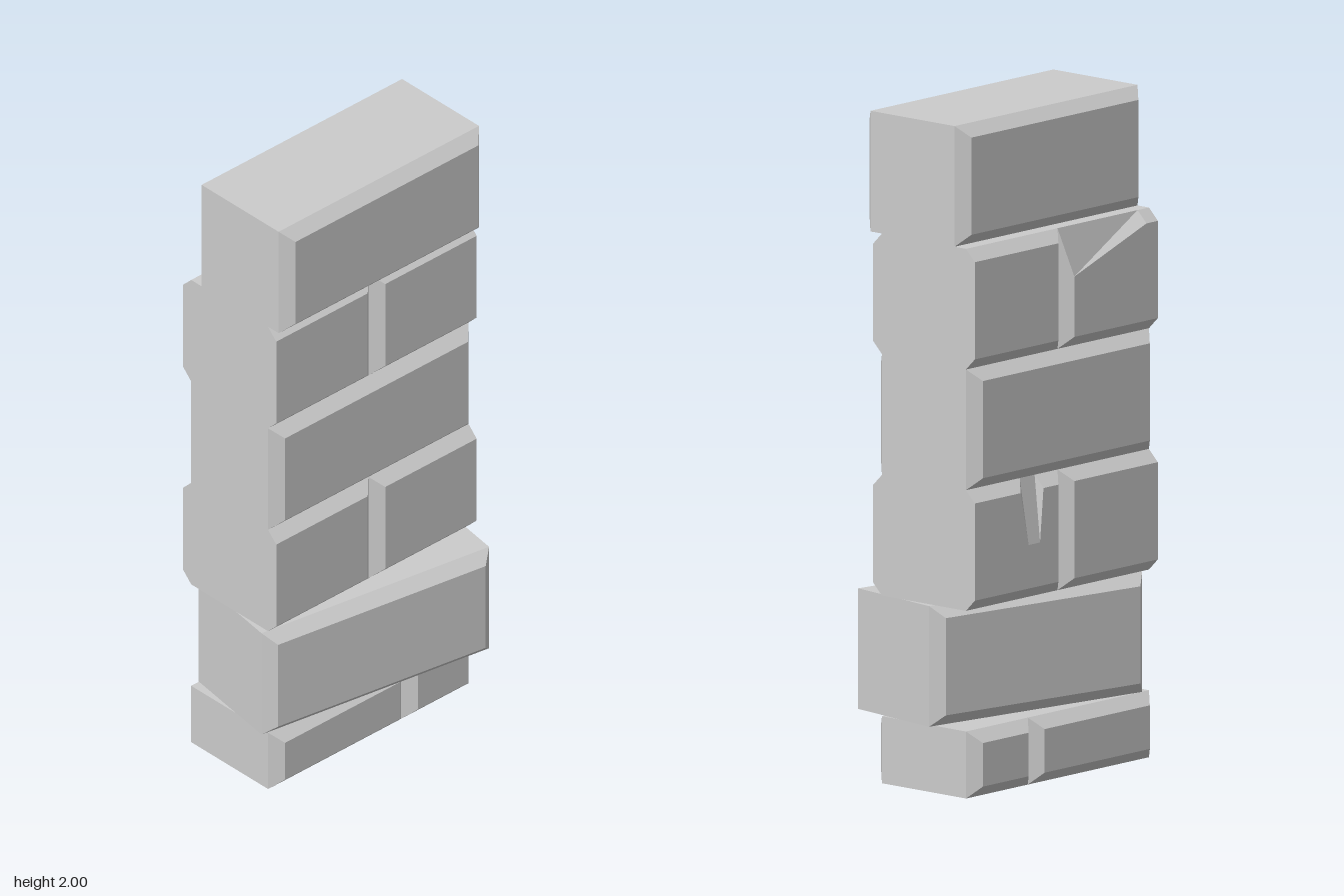
import * as THREE from 'three';

const HALF = 0.4;      // half length of every course
const CORE = 0.165;    // half width of the solid core
const BEVEL = 0.035;   // bevel size, also how far the brick faces stand out

const material = new THREE.MeshStandardMaterial({ color: 0xcccccc, flatShading: true });

// A station is [z, out, drop]: out = 1 on the brick face, 0 in a joint;
// drop lowers the upper edge of the face to chip it.
const single = [[-HALF, 0], [-HALF + BEVEL, 1], [HALF - BEVEL, 1], [HALF, 0]];
const joint = z => [[z - BEVEL, 1], [z, 0], [z + BEVEL, 1]];
const double = [[-HALF, 1], ...joint(0), [HALF, 1]];
const footing = [[-HALF, 0], [-HALF + BEVEL, 1], ...joint(-0.13), [HALF - BEVEL, 1], [HALF, 0]];
// gouge cut down through the upper edge of one brick
const gouged = [[-HALF, 1], [-0.2, 1], [-0.165, 1, 0.16], [-0.115, 1, 0.16], [-0.1, 1],
  ...joint(0), [HALF, 1]];
// long slanting chip on one brick
const chipped = [[-HALF, 1], [-BEVEL, 1], [0, 0], [BEVEL, 1, 0.11], [0.35, 1], [HALF, 1]];

// Bevelled brick faces along one side, lofted through the stations
function brickFaces(side, y0, y1, stations) {
  const pos = [];
  const quad = (a, b, c, d, flip) => {
    const q = flip ? [d, c, b, a] : [a, b, c, d];
    for (const i of [0, 1, 2, 0, 2, 3]) pos.push(...q[i]);
  };
  const profiles = stations.map(([z, out, drop = 0]) => {
    const b = BEVEL * out;
    const x = side * (CORE + b);
    return [
      [side * CORE, y1, z], [x, y1 - b - drop, z],
      [x, y0 + b, z], [side * CORE, y0, z],
    ];
  });
  for (let i = 0; i + 1 < profiles.length; i++) {
    const p = profiles[i], n = profiles[i + 1];
    for (let k = 0; k < 3; k++) quad(p[k], n[k], n[k + 1], p[k + 1], side < 0);
  }
  // square ends
  const last = profiles.length - 1;
  if (stations[0][1]) quad(...profiles[0], side < 0);
  if (stations[last][1]) quad(...profiles[last], side > 0);

  const geometry = new THREE.BufferGeometry();
  geometry.setAttribute('position', new THREE.Float32BufferAttribute(pos, 3));
  geometry.computeVertexNormals();
  return geometry;
}

// One course: solid core with brick faces on both sides
function course({ name, y0, y1, x, turn = 0, right, left = right }) {
  const group = new THREE.Group();
  group.name = name;
  group.position.x = x;
  group.rotation.y = turn;

  const core = new THREE.Mesh(new THREE.BoxGeometry(2 * CORE, y1 - y0, 2 * HALF), material);
  core.name = 'core';
  core.position.y = (y0 + y1) / 2;
  group.add(core);

  for (const [side, stations, label] of [[1, right, 'leftBricks'], [-1, left, 'rightBricks']]) {
    const mesh = new THREE.Mesh(brickFaces(side, y0, y1, stations), material);
    mesh.name = label;
    group.add(mesh);
  }
  return group;
}

export function createModel() {
  const model = new THREE.Group();
  model.name = 'brickPillar';
  const courses = [
    { name: 'footingCourse', y0: 0, y1: 0.2, x: -0.06, right: footing },
    { name: 'twistedCourse', y0: 0.2, y1: 0.56, x: 0, turn: -0.16, right: single },
    { name: 'gougedCourse', y0: 0.56, y1: 0.92, x: -0.06, right: double, left: gouged },
    { name: 'middleCourse', y0: 0.92, y1: 1.28, x: -0.06, right: single },
    { name: 'chippedCourse', y0: 1.28, y1: 1.64, x: -0.06, right: double, left: chipped },
    { name: 'topCourse', y0: 1.64, y1: 2, x: -0.015, right: single },
  ];
  for (const c of courses) model.add(course(c));
  return model;
}
